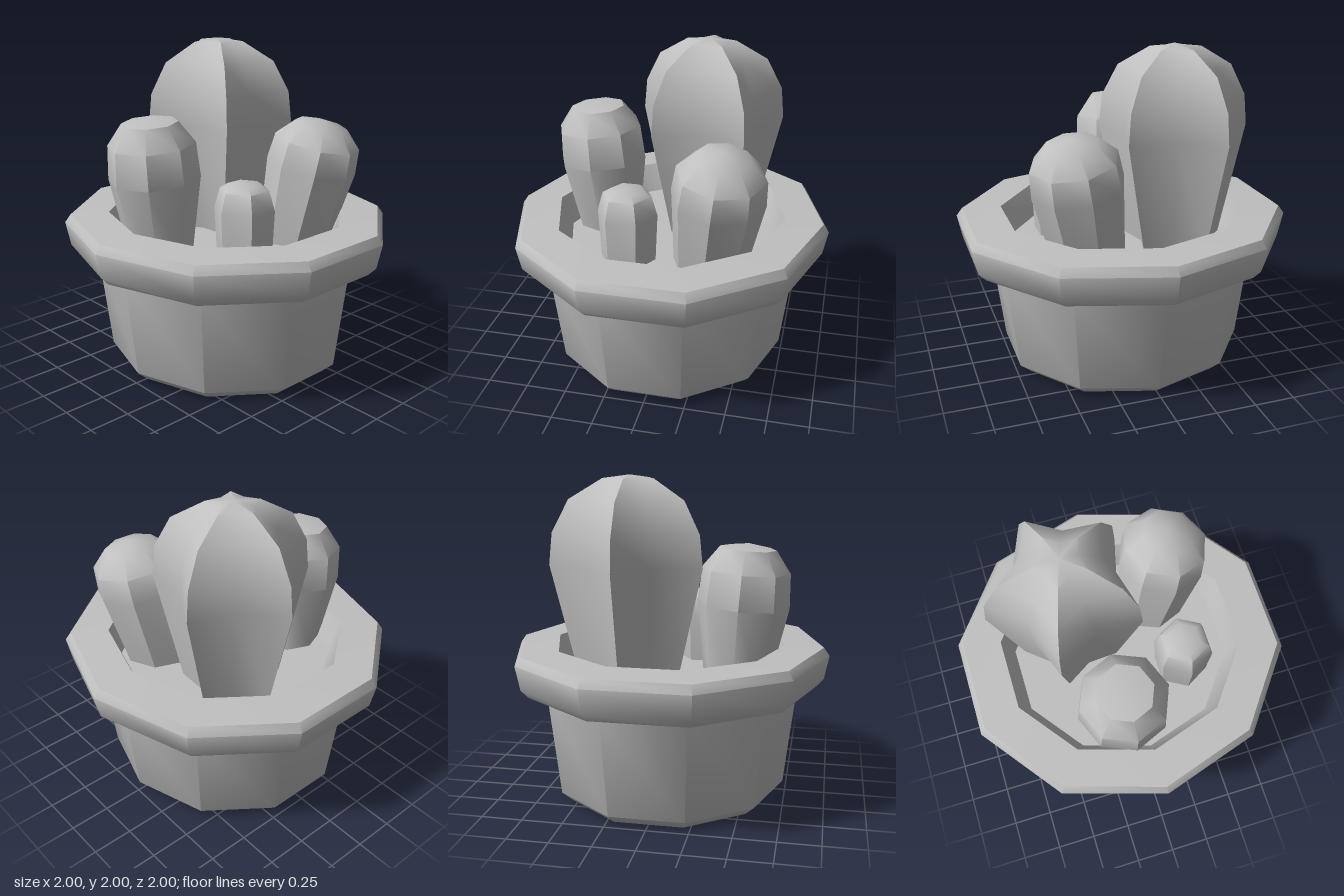
import * as THREE from 'three';
import { toCreasedNormals } from 'three/addons/utils/BufferGeometryUtils.js';

const grey = new THREE.MeshStandardMaterial({ color: 0xc0c0c0 });
grey.name = 'plain grey';

// Few-sided turned shape; every second rib can be pulled in to make a star section
function turned(name, profile, sides, phiStart, valley = 1) {
  const points = profile.map(([r, y]) => new THREE.Vector2(r, y));
  const geometry = new THREE.LatheGeometry(points, sides, phiStart);
  const pos = geometry.attributes.position;
  for (let i = 0; i < pos.count; i++) {
    if (Math.floor(i / points.length) % 2 === 1) {
      pos.setX(i, pos.getX(i) * valley);
      pos.setZ(i, pos.getZ(i) * valley);
    }
  }
  const mesh = new THREE.Mesh(toCreasedNormals(geometry, 0.78), grey);
  mesh.name = name;
  return mesh;
}

export function createModel() {
  const group = new THREE.Group();
  group.name = 'cactusPot';
  const soil = 0.78;

  // Ten-sided pot with a heavy rim and the soil surface inside
  const pot = turned('pot', [
    [0, 0], [0.67, 0], [0.735, 0.06], [0.81, 0.7], [0.925, 0.7], [0.97, 0.75],
    [1, 0.9], [0.965, 0.95], [0.73, 0.96], [0.66, soil], [0, soil],
  ], 10, Math.PI / 2);
  pot.scale.z = 1.05;
  group.add(pot);

  // Tall star-ribbed cactus, one rib pointing back
  const tall = turned('tallRibbedCactus', [
    [0.31, -0.02], [0.48, 0.7], [0.46, 0.89], [0.36, 1.08], [0.16, 1.2], [0, 1.22],
  ], 10, Math.PI, 0.66);
  tall.position.set(0.185, soil, -0.28);
  group.add(tall);

  // Round leaning cacti
  const left = turned('rightRoundCactus', [
    [0.2, -0.03], [0.28, 0.45], [0.265, 0.66], [0.17, 0.79], [0, 0.82],
  ], 8, 0);
  left.position.set(-0.44, soil, -0.125);
  left.rotation.z = 0.075;
  group.add(left);

  const front = turned('leftRoundCactus', [
    [0.22, -0.05], [0.28, 0.48], [0.265, 0.64], [0.16, 0.75], [0, 0.78],
  ], 8, 0);
  front.position.set(0.31, soil, 0.3);
  front.rotation.set(0.17, 0, -0.12);
  group.add(front);

  // Small six-sided cactus
  const small = turned('smallCactus', [
    [0.17, -0.02], [0.185, 0.3], [0.15, 0.42], [0.1, 0.45], [0, 0.455],
  ], 6, Math.PI / 2);
  small.position.set(-0.185, soil, 0.355);
  group.add(small);

  return group;
}
